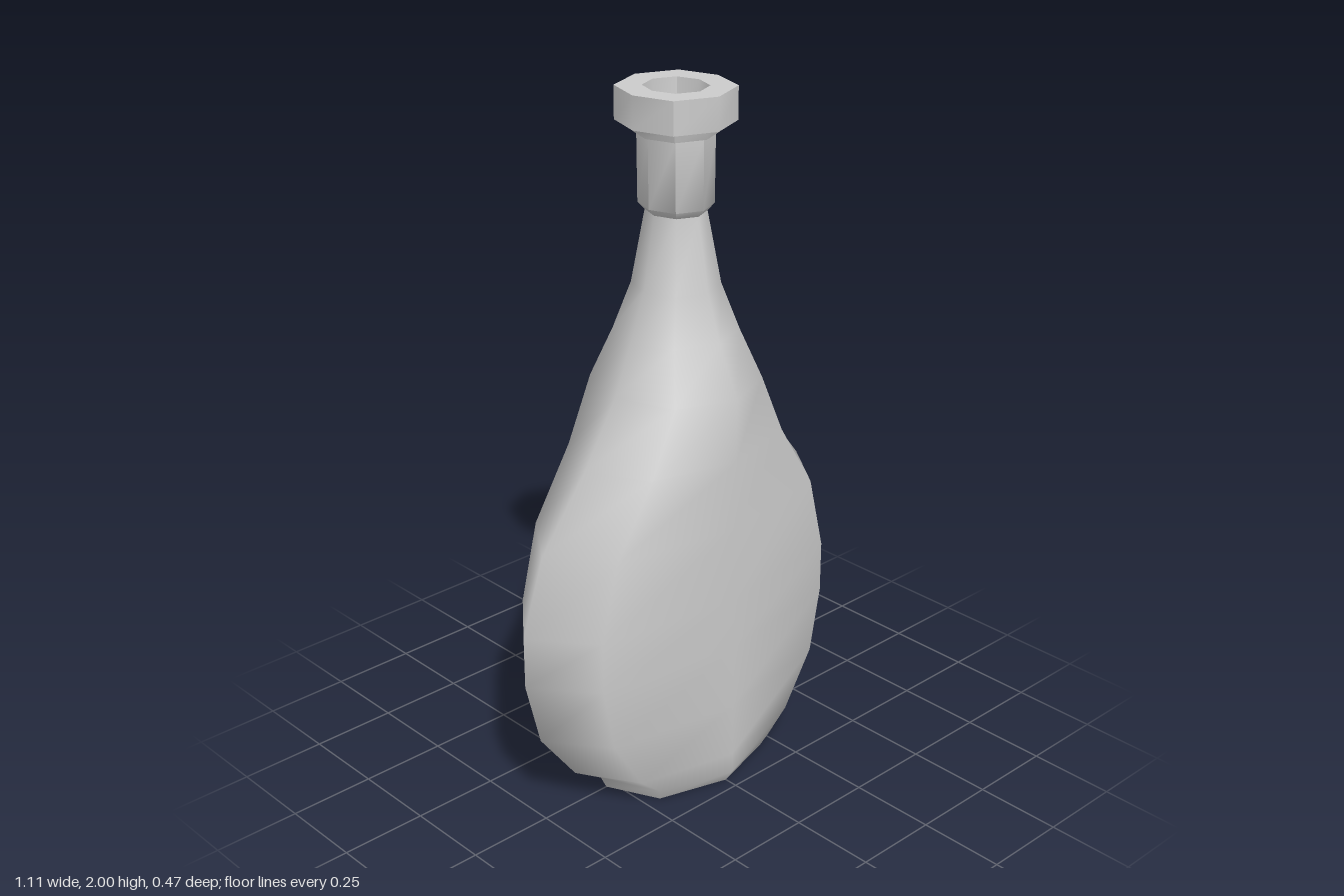
import * as THREE from 'three';
import { toCreasedNormals } from 'three/addons/utils/BufferGeometryUtils.js';

const SIDES = 8;

// Lofts eight-sided rings [y, half width, half depth, diagonal factor in x], in order
function loft(rings, crease) {
  const positions = [];
  const index = [];
  for (const [y, rx, rz, diagonal = 0.74] of rings) {
    for (let i = 0; i < SIDES; i++) {
      const a = (i / SIDES) * Math.PI * 2;
      const odd = i % 2 === 1;
      const x = odd ? Math.sign(Math.cos(a)) * diagonal : Math.round(Math.cos(a));
      const z = odd ? Math.sign(Math.sin(a)) * 0.71 : Math.round(Math.sin(a));
      positions.push(x * rx, y, z * rz);
    }
  }
  for (let j = 0; j < rings.length - 1; j++) {
    for (let i = 0; i < SIDES; i++) {
      const a = j * SIDES + i;
      const b = j * SIDES + ((i + 1) % SIDES);
      const c = a + SIDES;
      const d = b + SIDES;
      // Skip the collapsed half of a quad at a cap centre
      if (rings[j][1] > 0) index.push(a, c, b);
      if (rings[j + 1][1] > 0) index.push(b, c, d);
    }
  }
  // A cap that closes to a point keeps one real triangle per side
  const geometry = new THREE.BufferGeometry();
  geometry.setAttribute('position', new THREE.Float32BufferAttribute(positions, 3));
  geometry.setIndex(index);
  geometry.computeVertexNormals();
  return crease ? toCreasedNormals(geometry, crease) : geometry;
}

export function createModel() {
  const group = new THREE.Group();
  const material = new THREE.MeshStandardMaterial({ color: 0xcccccc });
  const add = (name, rings, crease) => {
    const mesh = new THREE.Mesh(loft(rings, crease), material);
    mesh.name = name;
    group.add(mesh);
  };

  // Flat foot
  add('base', [
    [0, 0, 0],
    [0, 0.275, 0.21],
  ]);

  // Flattened pear-shaped flask, smooth all round
  add('body', [
    [0, 0.275, 0.21],
    [0.04, 0.295, 0.235],
    [0.1, 0.39, 0.235],
    [0.26, 0.51, 0.235, 0.76],
    [0.45, 0.557, 0.235, 0.76],
    [0.6, 0.557, 0.235, 0.76],
    [0.82, 0.485, 0.235, 0.76],
    [1.02, 0.33, 0.235],
    [1.2, 0.22, 0.235],
    [1.34, 0.163, 0.168],
    [1.47, 0.115, 0.122, 0.72],
    [1.67, 0.078, 0.085, 0.72],
  ]);

  // Sleeve around the neck with a small flared ring on top
  add('neckSleeve', [
    [1.67, 0.078, 0.085, 0.72],
    [1.69, 0.097, 0.103, 0.72],
    [1.88, 0.099, 0.104, 0.72],
    [1.88, 0.108, 0.113, 0.74],
    [1.91, 0.117, 0.122, 0.74],
  ], 0.8);

  // Wide lip
  add('lip', [
    [1.91, 0.117, 0.122, 0.76],
    [1.91, 0.15, 0.157, 0.76],
    [2, 0.15, 0.157, 0.76],
    [2, 0.083, 0.088, 0.74],
  ], 0.8);

  // Hollow mouth with a flat floor
  add('mouth', [
    [2, 0.083, 0.088, 0.74],
    [1.91, 0.076, 0.08, 0.74],
    [1.69, 0.058, 0.062, 0.72],
    [1.69, 0, 0],
  ], 0.8);

  return group;
}
